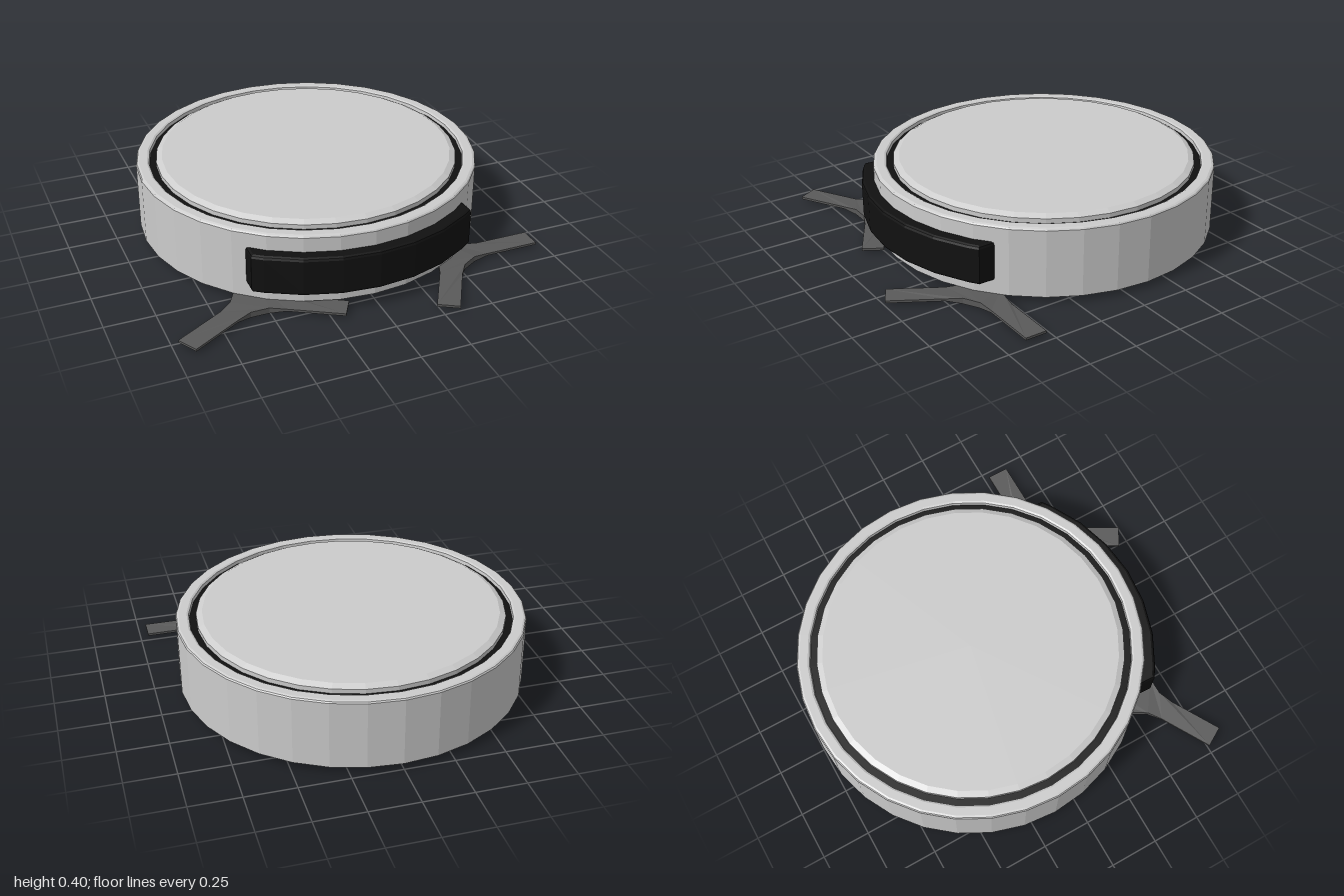
import * as THREE from 'three';

const SIDES = 32;
const BODY_Z = -0.12;
const mat = (color) => new THREE.MeshStandardMaterial({ color, flatShading: true });
const grey = mat(0xcccccc), black = mat(0x111111), dark = mat(0x5a5a5a);

function part(name, geometry, material, x = 0, y = 0, z = 0) {
  const mesh = new THREE.Mesh(geometry, material);
  mesh.name = name;
  mesh.position.set(x, y, z);
  return mesh;
}

// Round part turned about the body's axis from [radius, height] pairs
function turned(name, profile, material) {
  const pts = profile.map(([r, y]) => new THREE.Vector2(r, y));
  return part(name, new THREE.LatheGeometry(pts, SIDES), material, 0, 0, BODY_Z);
}

// Curved sensor window wrapped round the front, with straight ends
function sensorWindow() {
  const bevel = 0.015, halfWidth = 0.57 - bevel, outer = 0.94 - bevel, inner = 0.83;
  const arc = (r) => {
    const end = Math.asin(halfWidth / r), pts = [];
    const angles = [-end];
    for (let i = -3; i <= 3; i++) {
      const a = (i * 2 * Math.PI) / SIDES;
      if (Math.abs(a) < end - 0.02) angles.push(a);
    }
    angles.push(end);
    for (const a of angles) pts.push(new THREE.Vector2(r * Math.sin(a), r * Math.cos(a)));
    return pts;
  };
  const shape = new THREE.Shape([...arc(outer), ...arc(inner).reverse()]);
  const geo = new THREE.ExtrudeGeometry(shape, {
    depth: 0.2 - 2 * bevel, bevelThickness: bevel, bevelSize: bevel, bevelSegments: 2,
  });
  geo.rotateX(Math.PI / 2);
  return part('sensorWindow', geo, black, 0, 0.3 - bevel, BODY_Z);
}

// Three-armed side brush: thin blades, thicker at the filleted hub
function sideBrush(name, x, z, turn) {
  const hw = 0.055, length = 0.45, pts = [];
  for (let i = 0; i < 3; i++) {
    const a = turn + (i * 2 * Math.PI) / 3, c = Math.cos(a), s = Math.sin(a);
    const outline = [[0.09, -0.065], [0.17, -hw], [length, -hw], [length, hw], [0.17, hw], [0.09, 0.065]];
    for (const [u, v] of outline) pts.push(new THREE.Vector2(u * c - v * s, u * s + v * c));
  }
  const geo = new THREE.ExtrudeGeometry(new THREE.Shape(pts), { depth: 1, bevelEnabled: false });
  geo.rotateX(Math.PI / 2);
  const pos = geo.attributes.position;
  for (let i = 0; i < pos.count; i++) {
    const hub = Math.hypot(pos.getX(i), pos.getZ(i)) < 0.15;
    const top = pos.getY(i) > -0.5;
    pos.setY(i, top ? (hub ? 0.03 : 0.024) : (hub ? 0 : 0.012));
  }
  geo.computeVertexNormals();
  return part(name, geo, dark, x, 0, z);
}

export function createModel() {
  const model = new THREE.Group();
  model.name = 'robotVacuum';

  // Shell with a softened rim, open in the middle for the lid
  model.add(turned('bodyShell', [
    [0, 0.03], [0.877, 0.03], [0.877, 0.374], [0.872, 0.381], [0.862, 0.385],
    [0.822, 0.385], [0.812, 0.38], [0.808, 0.35],
  ], grey));

  // Dark gap between rim and lid
  model.add(turned('grooveRing', [[0.82, 0.362], [0.76, 0.362]], black));

  // Raised lid with a sloping edge
  model.add(turned('lid', [
    [0.775, 0.35], [0.775, 0.385], [0.745, 0.4], [0, 0.4],
  ], grey));

  model.add(sensorWindow());

  model.add(sideBrush('leftSideBrush', 0.51, 0.58, 0));
  model.add(sideBrush('rightSideBrush', -0.55, 0.58, Math.PI / 6));
  return model;
}
